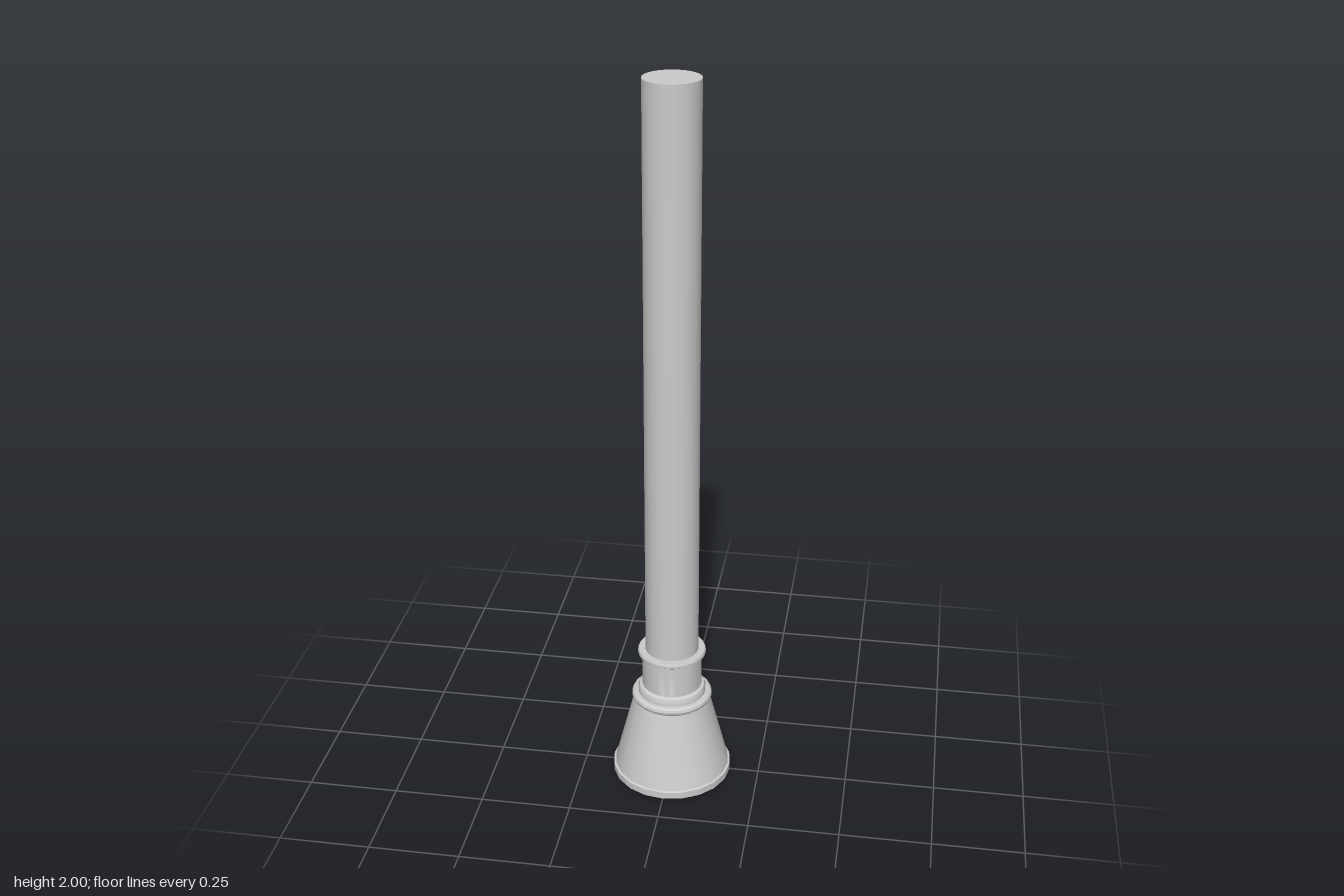
import * as THREE from 'three';
import { toCreasedNormals } from 'three/addons/utils/BufferGeometryUtils.js';

const material = new THREE.MeshStandardMaterial({ color: 0xcccccc });

// Turned part from a [radius, height] profile, bottom to top
function turned(name, profile, sides) {
  const points = profile.map(([r, y]) => new THREE.Vector2(r, y));
  const geometry = toCreasedNormals(new THREE.LatheGeometry(points, sides), 0.5);
  const mesh = new THREE.Mesh(geometry, material);
  mesh.name = name;
  return mesh;
}

export function createModel() {
  const column = new THREE.Group();
  column.name = 'column';

  column.add(
    // Flat foot and flared base
    turned('base', [
      [0, 0], [0.168, 0], [0.168, 0.02], [0.162, 0.022],
      [0.107, 0.237], [0, 0.237],
    ], 20),
    // Rounded moulding around the top of the base
    turned('baseMoulding', [
      [0, 0.235], [0.104, 0.235], [0.111, 0.242], [0.113, 0.249],
      [0.111, 0.256], [0.104, 0.261], [0, 0.261],
    ], 20),
    // Stepped neck and collar
    turned('collar', [
      [0, 0.26], [0.095, 0.26], [0.095, 0.272], [0.091, 0.28],
      [0.083, 0.284], [0.083, 0.382], [0, 0.382],
    ], 40),
    // Thin rounded ring capping the collar
    turned('collarRing', [
      [0, 0.379], [0.087, 0.379], [0.094, 0.384], [0.095, 0.389],
      [0.094, 0.394], [0.092, 0.397], [0, 0.397],
    ], 40),
    // Long plain shaft
    turned('shaft', [[0, 0.39], [0.074, 0.39], [0.074, 2], [0, 2]], 40),
  );
  return column;
}
